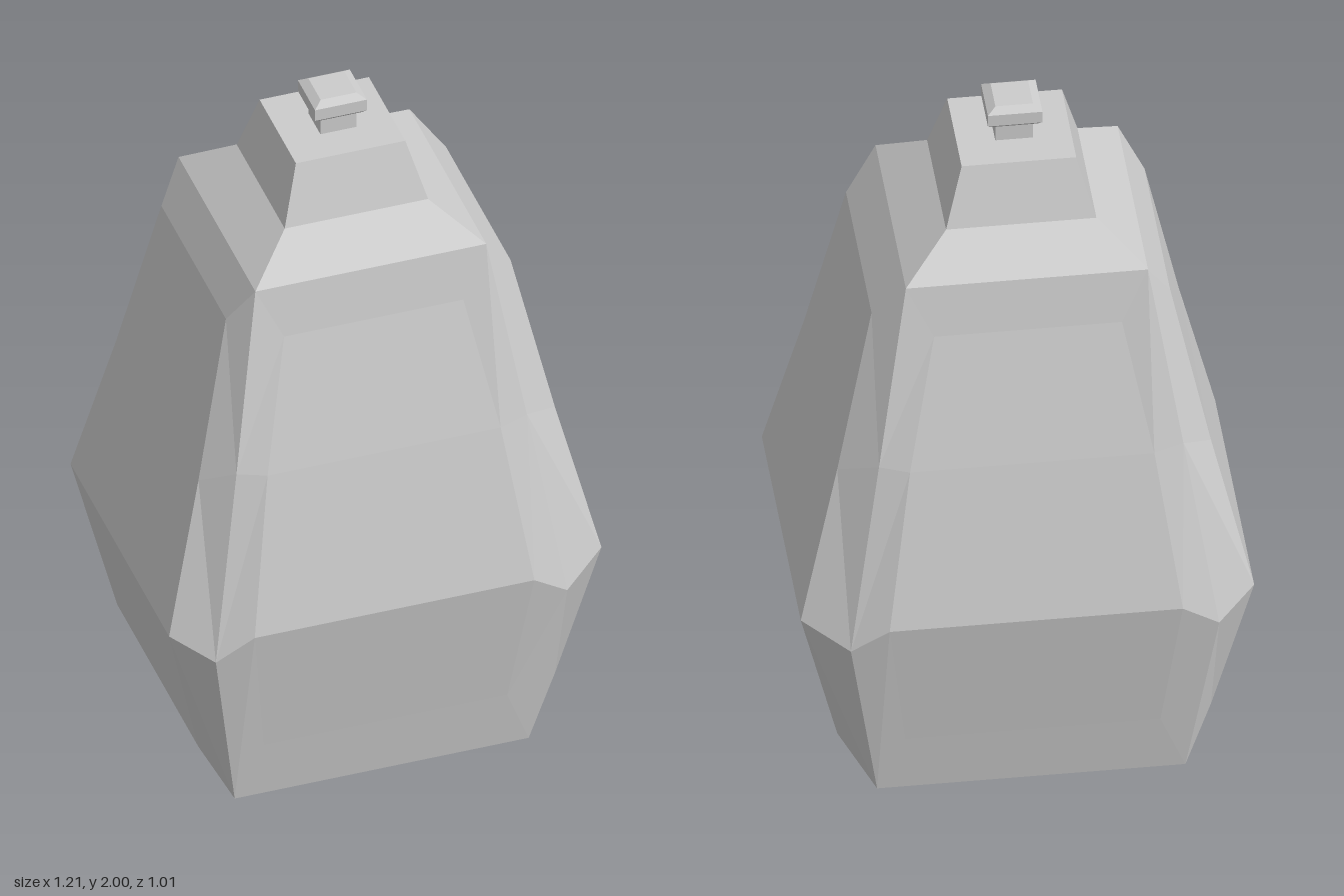
import * as THREE from 'three';

const SHIFT = -0.01; // the core sits slightly off the widest side edges

// Flat-shaded mesh from convex polygons (corners counter-clockwise)
function polyMesh(name, polys, material) {
  const pos = [];
  for (const p of polys)
    for (let i = 1; i < p.length - 1; i++) pos.push(...p[0], ...p[i], ...p[i + 1]);
  const g = new THREE.BufferGeometry();
  g.setAttribute('position', new THREE.Float32BufferAttribute(pos, 3));
  g.computeVertexNormals();
  const m = new THREE.Mesh(g, material);
  m.name = name;
  return m;
}

// Stack of rectangles [halfX, y, halfZ], bottom to top, with optional caps
function rectStack(rings, capBottom, capTop) {
  const loops = rings.map(([x, y, z]) =>
    [[x, z], [x, -z], [-x, -z], [-x, z]].map(([a, b]) => [a + SHIFT, y, b]));
  const polys = [];
  for (let r = 0; r < loops.length - 1; r++)
    for (let i = 0; i < 4; i++) {
      const j = (i + 1) % 4;
      polys.push([loops[r][i], loops[r][j], loops[r + 1][j], loops[r + 1][i]]);
    }
  if (capBottom) polys.push([...loops[0]].reverse());
  if (capTop) polys.push(loops[loops.length - 1]);
  return polys;
}

// One quarter of the faceted body, mirrored into all four corners
function bodyPolys() {
  const T = [0.322, 1.62, 0.312];
  const B = [0.41, 0.03, 0.4];
  // front panel corners, chamfer ridge and side panel corners, top to bottom
  const I = [[0.25, 1.47, 0.335], [0.325, 1.09, 0.42], [0.39, 0.63, 0.505], [0.34, 0.21, 0.43]];
  const F = [[0.405, 1.1, 0.4], [0.49, 0.555, 0.48]];
  const S = [[0.397, 1.51, 0.262], [0.497, 1.05, 0.33], [0.603, 0.61, 0.4], [0.497, 0.17, 0.33]]
    .map((p) => [...p, 0]);
  const midX = (p) => [0, p[1], p[2]];
  const midZ = (p) => [p[0], p[1], 0, ...p.slice(3)];
  const quarter = [
    // chamfer between front panel and ridge
    [T, I[0], I[1], F[0]], [F[0], I[1], I[2], F[1]], [F[1], I[2], I[3], B],
    // chamfer between ridge and side panel
    [T, F[0], S[1], S[0]], [F[0], F[1], S[2], S[1]], [F[1], B, S[3], S[2]],
  ];
  const front = [T, ...I, B], side = [T, ...S, B];
  for (let i = 0; i < 5; i++) {
    quarter.push([front[i], midX(front[i]), midX(front[i + 1]), front[i + 1]]);
    quarter.push([side[i], side[i + 1], midZ(side[i + 1]), midZ(side[i])]);
  }
  const polys = [];
  for (const sx of [1, -1])
    for (const sz of [1, -1])
      for (const q of quarter) {
        const p = q.map(([x, y, z, off = SHIFT]) => [x * sx + off, y, z * sz]);
        polys.push(sx * sz > 0 ? p : p.reverse());
      }
  return polys;
}

export function createModel() {
  const group = new THREE.Group();
  const grey = new THREE.MeshStandardMaterial({ color: 0xcccccc });
  grey.name = 'light grey';

  group.add(
    polyMesh('body', bodyPolys(), grey),
    polyMesh('base', rectStack([[0.31, 0, 0.3], [0.41, 0.03, 0.4]], true, false), grey),
    polyMesh('neck', rectStack([
      [0.322, 1.62, 0.312], [0.2, 1.715, 0.195], [0.1525, 1.885, 0.1475],
    ], false, true), grey),
    polyMesh('stem', rectStack([[0.05, 1.885, 0.048], [0.05, 1.94, 0.048]], false, false), grey),
    polyMesh('knob', rectStack([
      [0.06, 1.938, 0.058], [0.0725, 1.95, 0.07], [0.0725, 1.985, 0.07], [0.05, 2, 0.05],
    ], true, true), grey),
  );
  return group;
}
